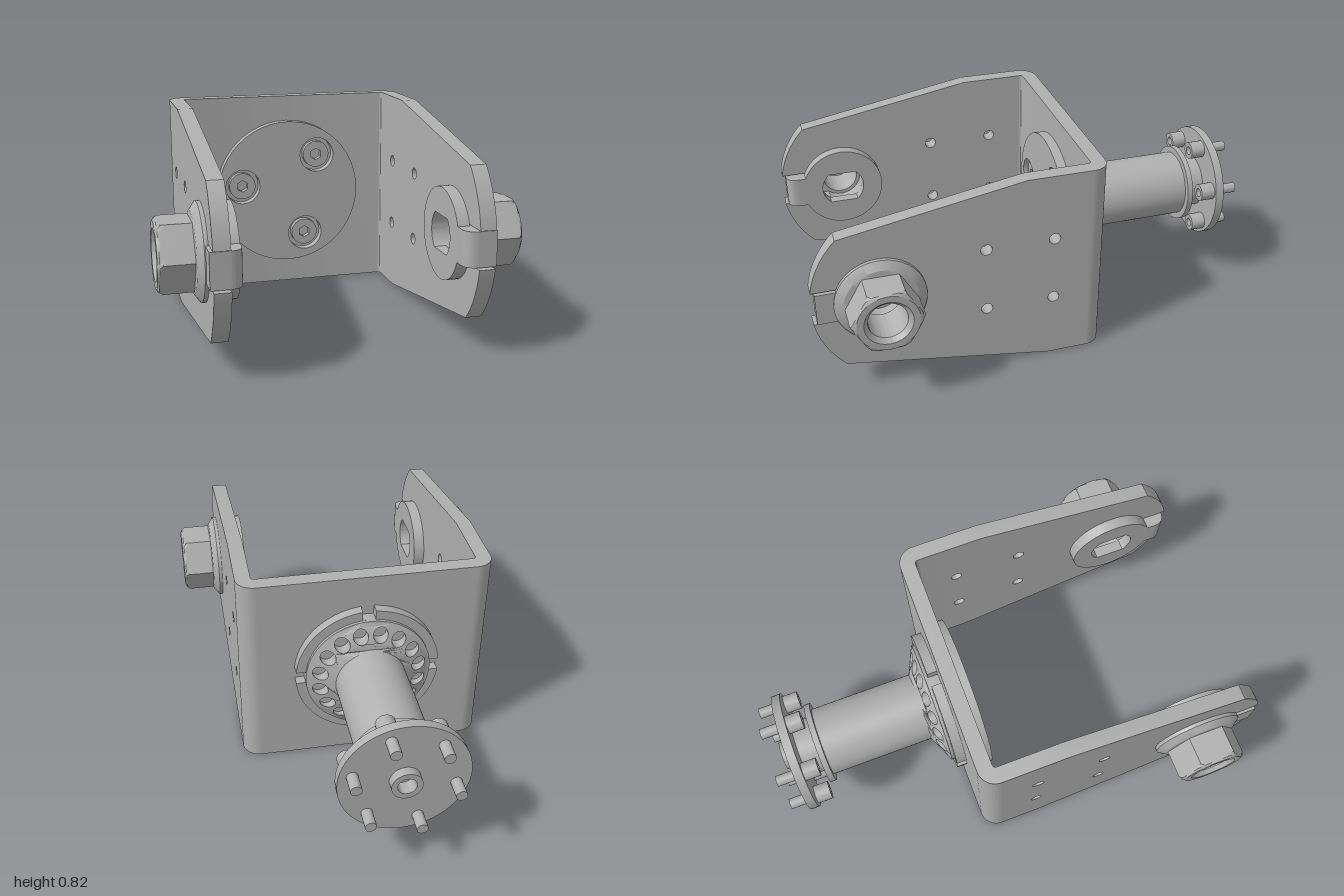
import * as THREE from 'three';
import { toCreasedNormals } from 'three/addons/utils/BufferGeometryUtils.js';

const MID = 0.411;          // height of the shaft and pivot axes
const PIVOT = 0.578;        // forward distance of the arm pivots
const steel = new THREE.MeshStandardMaterial({ color: 0xb0b0b0 });
steel.name = 'steel grey';

function add(parent, name, geometry, x = 0, y = 0, z = 0) {
  const mesh = new THREE.Mesh(toCreasedNormals(geometry, 0.5), steel);
  mesh.name = name;
  mesh.position.set(x, y, z);
  parent.add(mesh);
  return mesh;
}
const extrude = (shape, depth) =>
  new THREE.ExtrudeGeometry(shape, { depth, bevelEnabled: false, curveSegments: 24 });
const lathe = (points, segments = 48) =>
  new THREE.LatheGeometry(points.map(([r, h]) => new THREE.Vector2(r, h)), segments);
const circle = (x, y, r) => new THREE.Path().absarc(x, y, r, 0, Math.PI * 2, false);
const disc = (r) => new THREE.Shape().absarc(0, 0, r, 0, Math.PI * 2, false);

// U-shaped bend: back plate with rounded outer corners
function backPlate() {
  const s = new THREE.Shape();
  s.moveTo(-0.49, 0.16);
  s.lineTo(-0.43, 0.16);
  s.lineTo(-0.43, 0.25);
  s.quadraticCurveTo(-0.43, 0.265, -0.415, 0.265);
  s.lineTo(0.415, 0.265);
  s.quadraticCurveTo(0.43, 0.265, 0.43, 0.25);
  s.lineTo(0.43, 0.16);
  s.lineTo(0.49, 0.16);
  s.lineTo(0.49, 0.255);
  s.absarc(0.42, 0.255, 0.07, 0, Math.PI / 2, false);
  s.lineTo(-0.42, 0.325);
  s.absarc(-0.42, 0.255, 0.07, Math.PI / 2, Math.PI, false);
  return extrude(s, 0.82).rotateX(-Math.PI / 2);
}

// Tapered arm with a keyhole slot at its round tip and four small holes
function armGeometry() {
  const s = new THREE.Shape();
  const tip = Math.asin(0.28 / 0.4), slot = Math.asin(0.07 / 0.4), bore = Math.asin(0.07 / 0.09);
  s.moveTo(-0.16, 0);
  s.lineTo(-0.09, 0);
  s.absarc(0.44, MID, 0.4, -tip, -slot, false);
  s.absarc(PIVOT, MID, 0.09, -bore, bore, true);
  s.absarc(0.44, MID, 0.4, slot, tip, false);
  s.lineTo(0.005, 0.82);
  s.lineTo(-0.16, 0.82);
  for (const z of [-0.107, 0.166]) for (const y of [0.274, 0.546]) s.holes.push(circle(z, y, 0.023));
  return extrude(s, 0.06).rotateY(-Math.PI / 2);
}

// Flanged hexagon nut: a turned profile whose upper part is cut to six flats
function nutGeometry() {
  const g = lathe([[0.075, 0], [0.176, 0], [0.176, 0.014], [0.145, 0.036], [0.142, 0.038],
    [0.142, 0.13], [0.142, 0.145], [0.13, 0.156], [0.118, 0.163], [0.092, 0.163],
    [0.075, 0.145], [0.075, 0]], 72);
  const p = g.attributes.position;
  for (let i = 0; i < p.count; i++) {
    const x = p.getX(i), z = p.getZ(i), r = Math.hypot(x, z);
    if (p.getY(i) < 0.037) continue;
    const phi = (Math.atan2(x, z) + Math.PI * 2 + 1e-6) % (Math.PI / 3);
    const k = Math.min(1, 0.121 / Math.cos(phi - Math.PI / 6) / r);
    p.setX(i, x * k);
    p.setZ(i, z * k);
  }
  return g;
}

// Inner washer with a two-flat hole
function washerGeometry() {
  const s = disc(0.173);
  const a = Math.asin(0.068 / 0.09), h = new THREE.Path();
  h.absarc(0, 0, 0.09, -a, a, false);
  h.absarc(0, 0, 0.09, Math.PI - a, Math.PI + a, false);
  h.closePath();
  s.holes.push(h);
  return extrude(s, 0.045).rotateY(-Math.PI / 2);
}

// Tab with rounded front corner that fills the slot
function tabGeometry() {
  const s = new THREE.Shape();
  s.moveTo(0, 0.1);
  s.lineTo(0, 0.05);
  s.quadraticCurveTo(0, 0, 0.05, 0);
  s.lineTo(0.115, 0);
  s.lineTo(0.115, 0.1);
  return extrude(s, 0.13).rotateX(-Math.PI / 2);
}

// Rear flange with four rim notches
function flangeGeometry() {
  const s = new THREE.Shape();
  for (let k = 0; k < 4; k++) {
    const a = k * Math.PI / 2;
    s.absarc(0, 0, 0.282, a + 0.09, a + Math.PI / 2 - 0.09, false);
    s.absarc(0, 0, 0.245, a + Math.PI / 2 - 0.1, a + Math.PI / 2 + 0.1, false);
  }
  s.closePath();
  return extrude(s, 0.04).rotateY(Math.PI);
}

// Ring of pockets, its rear face raised into a cone toward the shaft
function pocketRingGeometry() {
  const s = disc(0.245);
  s.holes.push(circle(0, 0, 0.13));
  for (let k = 0; k < 16; k++) {
    const a = (k + 0.5) * Math.PI / 8;
    s.holes.push(circle(0.196 * Math.cos(a), 0.196 * Math.sin(a), 0.029));
  }
  const g = extrude(s, 0.012), p = g.attributes.position;
  for (let i = 0; i < p.count; i++) {
    if (p.getZ(i) > 0.006) p.setZ(i, 0.012 + (0.245 - Math.hypot(p.getX(i), p.getY(i))) * 0.45);
  }
  return g.rotateY(Math.PI);
}

export function createModel() {
  const model = new THREE.Group();
  model.name = 'swivelBracket';
  const body = new THREE.Group();
  body.name = 'bracketAssembly';
  const turn = 0.29;
  body.rotation.y = turn;
  body.position.set(-0.138 * Math.cos(turn), 0, 0.138 * Math.sin(turn));
  model.add(body);

  add(body, 'backPlate', backPlate());

  // Arms with their pivot hardware
  for (const side of [1, -1]) {
    const label = side > 0 ? 'left' : 'right';
    add(body, label + 'Arm', armGeometry(), side > 0 ? 0.49 : -0.43);
    add(body, label + 'FlangedNut', nutGeometry().rotateZ(-side * Math.PI / 2), side * 0.49, MID, PIVOT);
    add(body, label + 'PivotWasher', washerGeometry(), side > 0 ? 0.43 : -0.385, MID, PIVOT);
    const tab = tabGeometry();
    if (side < 0) tab.rotateZ(Math.PI).translate(0, 0.13, 0);
    add(body, label + 'LockTab', tab, side * 0.385, MID - 0.065, 0.82);
  }

  // Front cover disc with three recessed socket screws
  const cover = disc(0.304);
  const head = disc(0.056);
  const socket = new THREE.Path();
  for (let k = 0; k < 6; k++) {
    const a = k * Math.PI / 3 + Math.PI / 6, x = 0.025 * Math.cos(a), y = 0.025 * Math.sin(a);
    if (k) socket.lineTo(x, y); else socket.moveTo(x, y);
  }
  socket.closePath();
  head.holes.push(socket);
  for (let k = 0; k < 3; k++) {
    const a = (51 + 120 * k) * Math.PI / 180;
    const x = 0.2 * Math.cos(a), y = 0.2 * Math.sin(a);
    cover.holes.push(circle(x, y, 0.073));
    add(body, 'coverScrew', extrude(head, 0.026), x, MID + y, -0.265);
  }
  add(body, 'coverDisc', extrude(cover, 0.04), 0, MID, -0.265);

  // Rear flange, pocket ring and shaft
  add(body, 'rearFlange', flangeGeometry(), 0, MID, -0.325);
  add(body, 'pocketRing', pocketRingGeometry(), 0, MID, -0.365);
  const shaft = lathe([[0.137, 0.36], [0.137, 0.835], [0.163, 0.835], [0.163, 0.858],
    [0.112, 0.858], [0.112, 0.93], [0.238, 0.93], [0.238, 0.965], [0.056, 0.965],
    [0.056, 1.0], [0.034, 1.0], [0.034, 0.945], [0, 0.945]], 64);
  add(body, 'shaft', shaft.rotateX(-Math.PI / 2), 0, MID, 0);

  // Six bolts through the end disc
  for (let k = 0; k < 6; k++) {
    const a = (13 + 60 * k) * Math.PI / 180;
    const x = 0.19 * Math.cos(a), y = MID + 0.19 * Math.sin(a);
    const bolt = lathe([[0, 0.89], [0.018, 0.89], [0.018, 0.87], [0.036, 0.87], [0.036, 0.935],
      [0.021, 0.935], [0.021, 1.035], [0, 1.035]], 20);
    add(body, 'endBolt', bolt.rotateX(-Math.PI / 2), x, y, 0);
  }
  return model;
}
